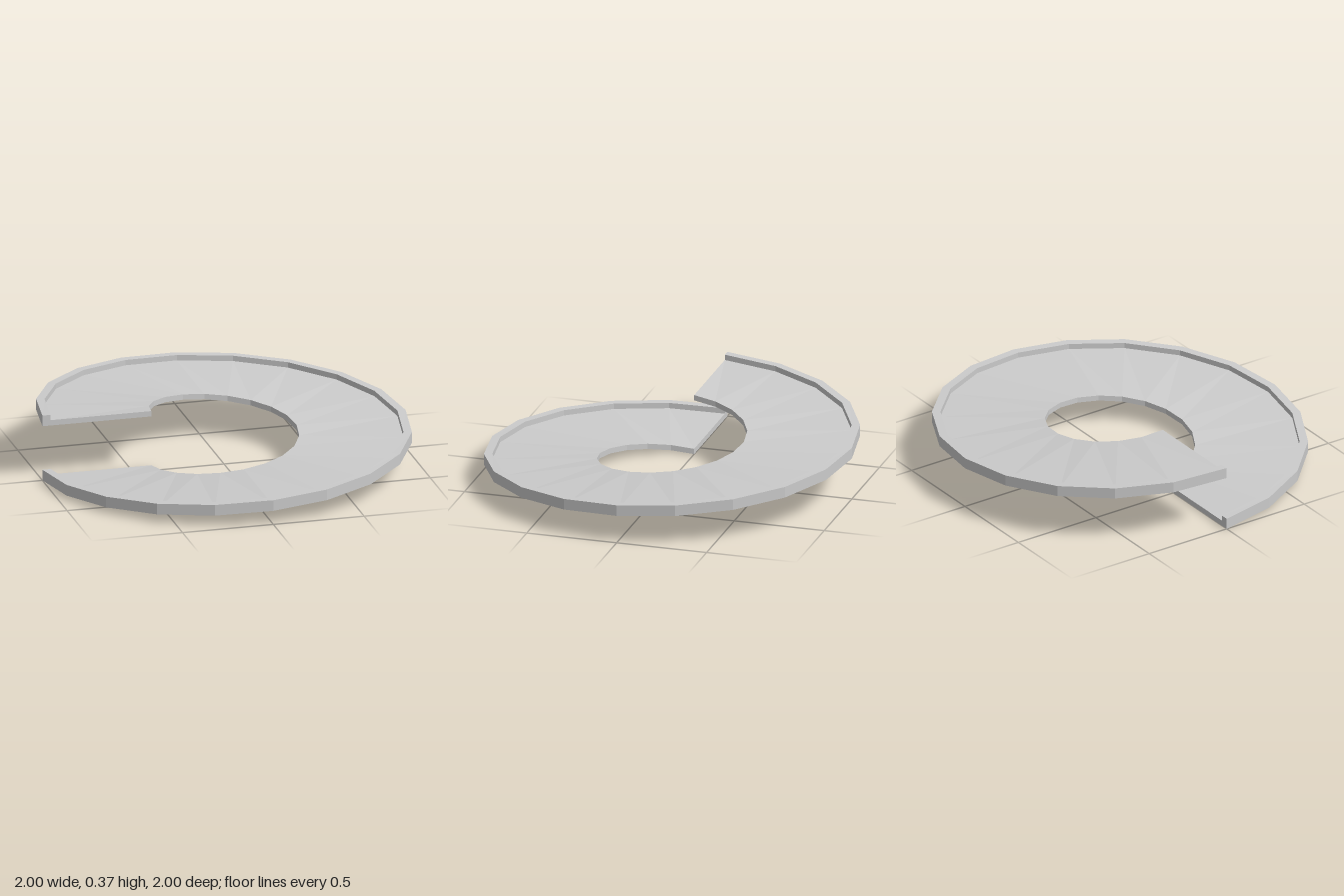
import * as THREE from 'three';

const SEGMENTS = 20;
const RISE = 0.305; // height gained over one full turn

// L-shaped cross-section as [radius, height], counter-clockwise:
// a thin road slab with a raised curb on its outer edge
const PROFILE = [[0.4, 0], [1, 0], [1, 0.06], [0.955, 0.06], [0.955, 0.03], [0.4, 0.03]];
const CAP = [[0, 1, 4], [0, 4, 5], [1, 2, 3], [1, 3, 4]];

// Sweeps the profile along one turn of a helix and closes both ends
function helicalSweep() {
  const n = PROFILE.length;
  const positions = [];
  const index = [];
  for (let i = 0; i <= SEGMENTS; i++) {
    const t = i / SEGMENTS;
    const angle = t * Math.PI * 2;
    for (const [r, y] of PROFILE) {
      positions.push(-r * Math.cos(angle), y + RISE * t, r * Math.sin(angle));
    }
  }
  for (let i = 0; i < SEGMENTS; i++) {
    for (let j = 0; j < n; j++) {
      const a = i * n + j;
      const b = i * n + (j + 1) % n;
      index.push(a, a + n, b, b, a + n, b + n);
    }
  }
  // Start and end caps
  const last = SEGMENTS * n;
  for (const [a, b, c] of CAP) {
    index.push(a, b, c, last + a, last + c, last + b);
  }
  const indexed = new THREE.BufferGeometry();
  indexed.setAttribute('position', new THREE.Float32BufferAttribute(positions, 3));
  indexed.setIndex(index);
  const geometry = indexed.toNonIndexed();
  geometry.computeVertexNormals();
  return geometry;
}

export function createModel() {
  const group = new THREE.Group();
  group.name = 'spiralRamp';

  // Road slab and curb in one closed sweep
  const material = new THREE.MeshStandardMaterial({ color: 0xcccccc, flatShading: true });
  const ramp = new THREE.Mesh(helicalSweep(), material);
  ramp.name = 'rampWithOuterCurb';
  group.add(ramp);

  return group;
}
